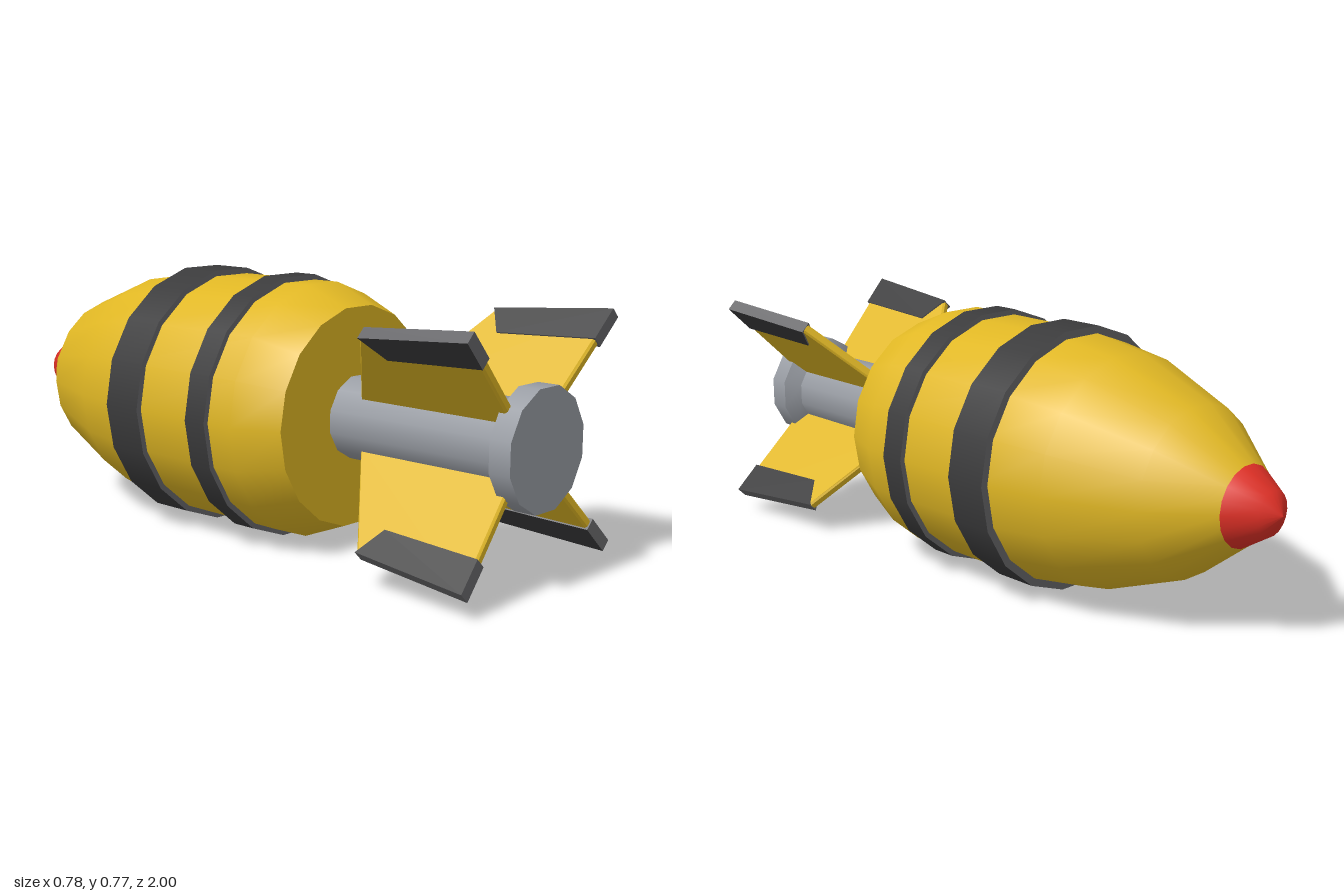
import * as THREE from 'three';

const mat = (name, color, side = THREE.FrontSide) => {
  const m = new THREE.MeshStandardMaterial({ color, side });
  m.name = name;
  return m;
};

export function createModel() {
  const yellow = mat('yellow', 0xe0b724);
  const dark = mat('charcoal', 0x3b3b3c);
  const edge = mat('edgeGrey', 0x67676a);
  const grey = mat('steelGrey', 0x999da4);
  const red = mat('red', 0xe03026);

  const model = new THREE.Group();
  model.name = 'rocketBomb';
  const body = new THREE.Group();
  body.name = 'body';
  body.position.y = 0.384;
  model.add(body);

  const add = (name, geometry, material, parent = body) => {
    const mesh = new THREE.Mesh(geometry, material);
    mesh.name = name;
    parent.add(mesh);
    return mesh;
  };

  // Revolve [radius, z] points around the z axis, z ascending
  const turn = (name, points, material, sides = 18, start = Math.PI / 2) => {
    const profile = points.map(([r, z]) => new THREE.Vector2(r, z));
    const geometry = new THREE.LatheGeometry(profile, sides, start);
    geometry.rotateX(Math.PI / 2);
    return add(name, geometry, material);
  };

  // Hull, its flat rear face and the nose tip
  turn('hull', [[0.115, -0.885], [0.243, -0.72], [0.341, -0.46], [0.373, -0.25],
    [0.375, 0.22], [0.319, 0.36]], yellow);
  turn('hullRear', [[0.319, 0.36], [0, 0.36]], yellow);
  turn('noseTip', [[0, -1], [0.063, -0.967], [0.115, -0.885]], red);

  // Raised bands with lighter rims
  for (const [z0, z1] of [[-0.287, -0.152], [0.055, 0.132]]) {
    turn('band', [[0.39, z0], [0.39, z1]], dark);
    turn('bandFrontRim', [[0.355, z0], [0.39, z0]], edge);
    turn('bandRearRim', [[0.39, z1], [0.355, z1]], edge);
  }

  // Tail shaft and end flange
  const tail = (name, points) => turn(name, points, grey, 12, Math.PI / 12);
  tail('tailShaft', [[0.122, 0.34], [0.122, 0.905]]);
  tail('flangeTaper', [[0.122, 0.905], [0.17, 0.935]]);
  tail('flangeSide', [[0.17, 0.935], [0.17, 1]]);
  tail('flangeEnd', [[0.17, 1], [0, 1]]);

  // Flat plate from [radius, z] corners, centred on its thickness
  const plate = (corners, thickness, bevel) => {
    const shape = new THREE.Shape(corners.map(([r, z]) => new THREE.Vector2(r, z)));
    const depth = thickness - 2 * bevel;
    const geometry = new THREE.ExtrudeGeometry(shape, {
      depth, bevelEnabled: bevel > 0, bevelSize: bevel, bevelThickness: bevel,
      bevelOffset: -bevel, bevelSegments: 1,
    });
    geometry.translate(0, 0, -depth / 2);
    geometry.rotateX(Math.PI / 2);
    return geometry;
  };
  const finPlate = plate([[0.1, 0.44], [0.417, 0.622], [0.454, 0.985], [0.1, 0.955]], 0.028, 0.006);
  const finTip = plate([[0.335, 0.672], [0.419, 0.62], [0.457, 0.987], [0.353, 0.98]], 0.037, 0);

  // Four diagonal fins
  for (let i = 0; i < 4; i++) {
    const fin = new THREE.Group();
    fin.name = 'fin';
    fin.rotation.z = Math.PI / 4 + i * Math.PI / 2;
    add('finPlate', finPlate, yellow, fin);
    add('finTip', finTip, [dark, edge], fin);
    body.add(fin);
  }
  return model;
}
